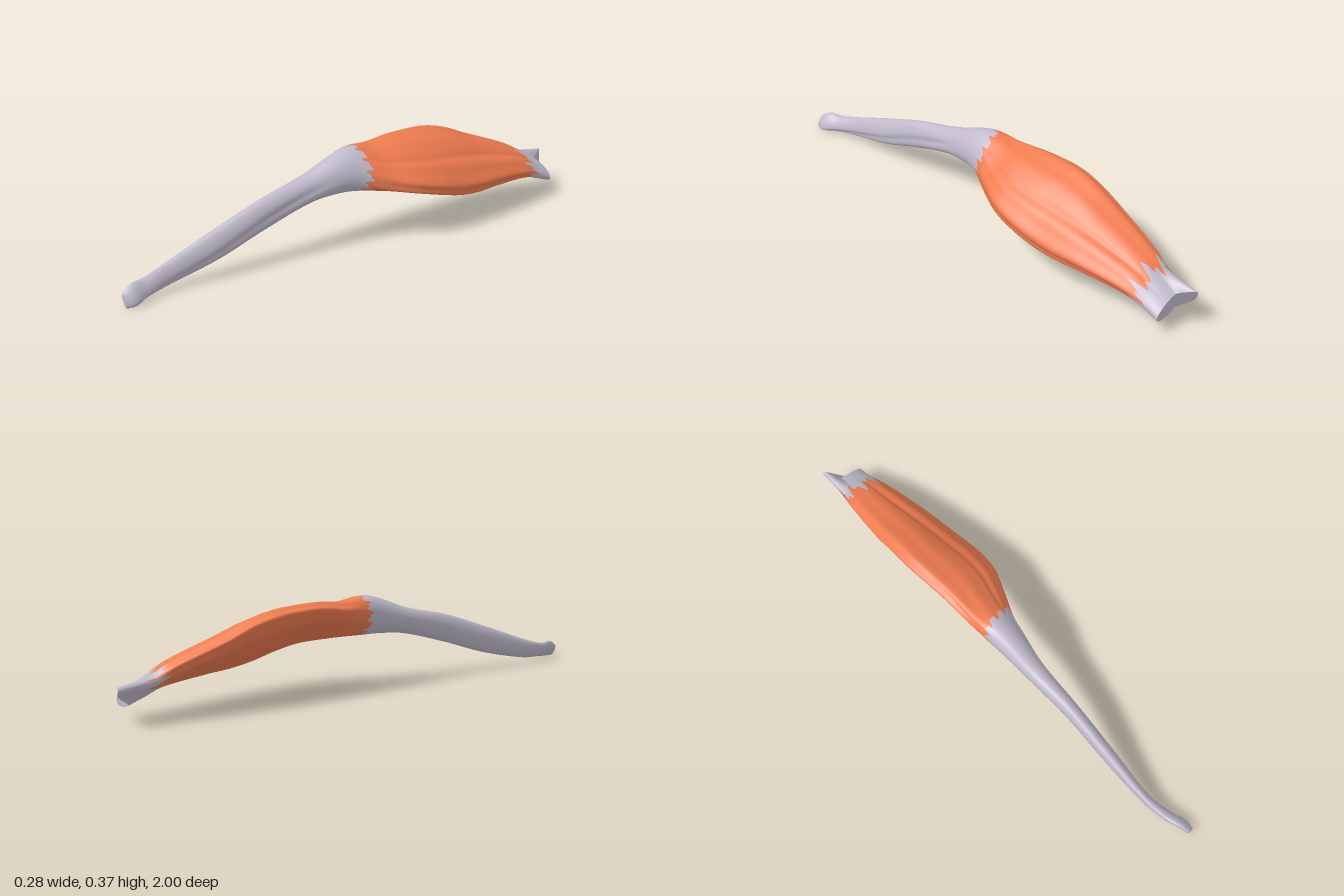
import * as THREE from 'three';

// Cross-sections along the length: z, xMin, xMax, yMin, yMax, lean (degrees; 90 = upright ellipse)
const SECTIONS = [
  [-0.94, -0.06, 0.08, 0.06, 0.135, 125],
  [-0.88, -0.068, 0.08, 0.08, 0.17, 125],
  [-0.8, -0.09, 0.092, 0.105, 0.22, 128],
  [-0.6, -0.125, 0.12, 0.12, 0.3, 135],
  [-0.5, -0.133, 0.13, 0.122, 0.342, 139],
  [-0.4, -0.14, 0.137, 0.135, 0.366, 141],
  [-0.3, -0.137, 0.139, 0.16, 0.372, 141],
  [-0.2, -0.132, 0.122, 0.183, 0.371, 138],
  [-0.1, -0.13, 0.075, 0.198, 0.362, 128],
  [0, -0.124, 0.022, 0.208, 0.37, 112],
  [0.08, -0.117, 0.0, 0.21, 0.35, 105],
  [0.2, -0.11, -0.022, 0.198, 0.303, 105],
  [0.4, -0.1, -0.035, 0.14, 0.252, 105],
  [0.6, -0.104, -0.046, 0.072, 0.18, 110],
  [0.8, -0.103, -0.06, 0.025, 0.104, 115],
  [0.9, -0.09, -0.042, 0.012, 0.075, 125],
  [0.96, -0.074, -0.022, 0.002, 0.073, 135],
  [1, -0.06, -0.028, 0.002, 0.05, 135],
];
const AROUND = 96;
const smooth = THREE.MathUtils.smoothstep;

// Smooth interpolation of one column of the section table
function sample(z, col) {
  const last = SECTIONS.length - 1;
  let i = 0;
  while (i < last - 1 && z > SECTIONS[i + 1][0]) i++;
  const slope = (k) => {
    const a = SECTIONS[Math.max(k - 1, 0)], b = SECTIONS[Math.min(k + 1, last)];
    return (b[col] - a[col]) / (b[0] - a[0]);
  };
  const p = SECTIONS[i], q = SECTIONS[i + 1], h = q[0] - p[0];
  const s = (z - p[0]) / h, s2 = s * s, s3 = s2 * s;
  return (2 * s3 - 3 * s2 + 1) * p[col] + (s3 - 2 * s2 + s) * h * slope(i)
    + (3 * s2 - 2 * s3) * q[col] + (s3 - s2) * h * slope(i + 1);
}

// Dent centred on angle t0
function dent(t, t0, width) {
  const d = Math.atan2(Math.sin(t - t0), Math.cos(t - t0)) / width;
  return Math.exp(-d * d);
}

// Point of the outer surface at length z and angle t
function surface(z, t) {
  const [x0, x1, y0, y1, lean] = [1, 2, 3, 4, 5].map((c) => sample(z, c));
  const belly = smooth(z, -0.95, -0.7) * (1 - smooth(z, -0.15, 0.03));
  const strand = smooth(z, 0.05, 0.3) * (1 - smooth(z, 0.85, 1));
  let r = 1 - belly * (0.12 * dent(t, -1.05 + 0.15 * z, 0.13) + 0.1 * dent(t, 1.95, 0.5)
    + 0.025 * (1 + Math.cos(9 * t + 2 * z)));
  r -= strand * 0.16 * dent(t, -0.4 + z, 0.35);
  const x = (x0 + x1) / 2 + r * (x1 - x0) / 2 * Math.cos(t);
  let y = (y0 + y1) / 2 + r * (y1 - y0) / 2 * Math.cos(t + THREE.MathUtils.degToRad(lean));
  // prong on one side of the far end
  const prong = (1 - smooth(x, -0.055, -0.015)) * THREE.MathUtils.clamp((-0.86 - z) / 0.08, 0, 1);
  y += 0.025 * prong;
  return new THREE.Vector3(x, y, z - 0.06 * prong);
}

// Skin between two end lines, each a function of the angle
function skin(name, color, zStart, zEnd, rows, cap) {
  const pos = [], nor = [], idx = [], e = 0.002;
  for (let i = 0; i <= rows; i++) {
    for (let j = 0; j <= AROUND; j++) {
      const t = (j % AROUND) / AROUND * Math.PI * 2;
      const z = THREE.MathUtils.lerp(zStart(t), zEnd(t), i / rows);
      const dz = surface(z + e, t).sub(surface(z - e, t));
      const dt = surface(z, t + 0.01).sub(surface(z, t - 0.01));
      pos.push(...surface(z, t).toArray());
      nor.push(...dz.cross(dt).normalize().toArray());
      if (i < rows && j < AROUND) {
        const a = i * (AROUND + 1) + j, c = a + AROUND + 1;
        idx.push(a, c, a + 1, a + 1, c, c + 1);
      }
    }
  }
  // flat end, with its own hard-edged ring
  if (cap) {
    const z = cap < 0 ? zStart(0) : zEnd(0), base = pos.length / 3;
    const mid = new THREE.Vector3();
    for (let j = 0; j < AROUND; j++) {
      const p = surface(z, j / AROUND * Math.PI * 2);
      mid.addScaledVector(p, 1 / AROUND);
      pos.push(...p.toArray());
      nor.push(0, 0, cap);
      const k = base + j, n = base + (j + 1) % AROUND;
      if (cap < 0) idx.push(base + AROUND, k, n);
      else idx.push(base + AROUND, n, k);
    }
    pos.push(mid.x, mid.y, mid.z - cap * 0.012);
    nor.push(0, 0, cap);
  }
  const geo = new THREE.BufferGeometry();
  geo.setAttribute('position', new THREE.Float32BufferAttribute(pos, 3));
  geo.setAttribute('normal', new THREE.Float32BufferAttribute(nor, 3));
  geo.setIndex(idx);
  const mesh = new THREE.Mesh(geo, new THREE.MeshStandardMaterial({ color }));
  mesh.name = name;
  return mesh;
}

export function createModel() {
  const group = new THREE.Group();
  group.name = 'muscleWithTendons';
  // ragged lines where the flesh meets the tendons
  const farLine = (t) => -0.84 + 0.025 * Math.sin(7 * t) + 0.02 * Math.sin(16 * t + 1);
  const nearLine = (t) => -0.01 + 0.022 * Math.cos(t - 2.2) + 0.012 * Math.sin(11 * t) + 0.008 * Math.sin(23 * t);
  const flesh = 0xf07c50, sinew = 0xc0bacb;
  group.add(
    skin('shortTendon', sinew, () => -0.94, farLine, 14, -1),
    skin('muscleBelly', flesh, farLine, nearLine, 70, 0),
    skin('longTendon', sinew, nearLine, () => 1, 80, 1),
  );
  return group;
}
